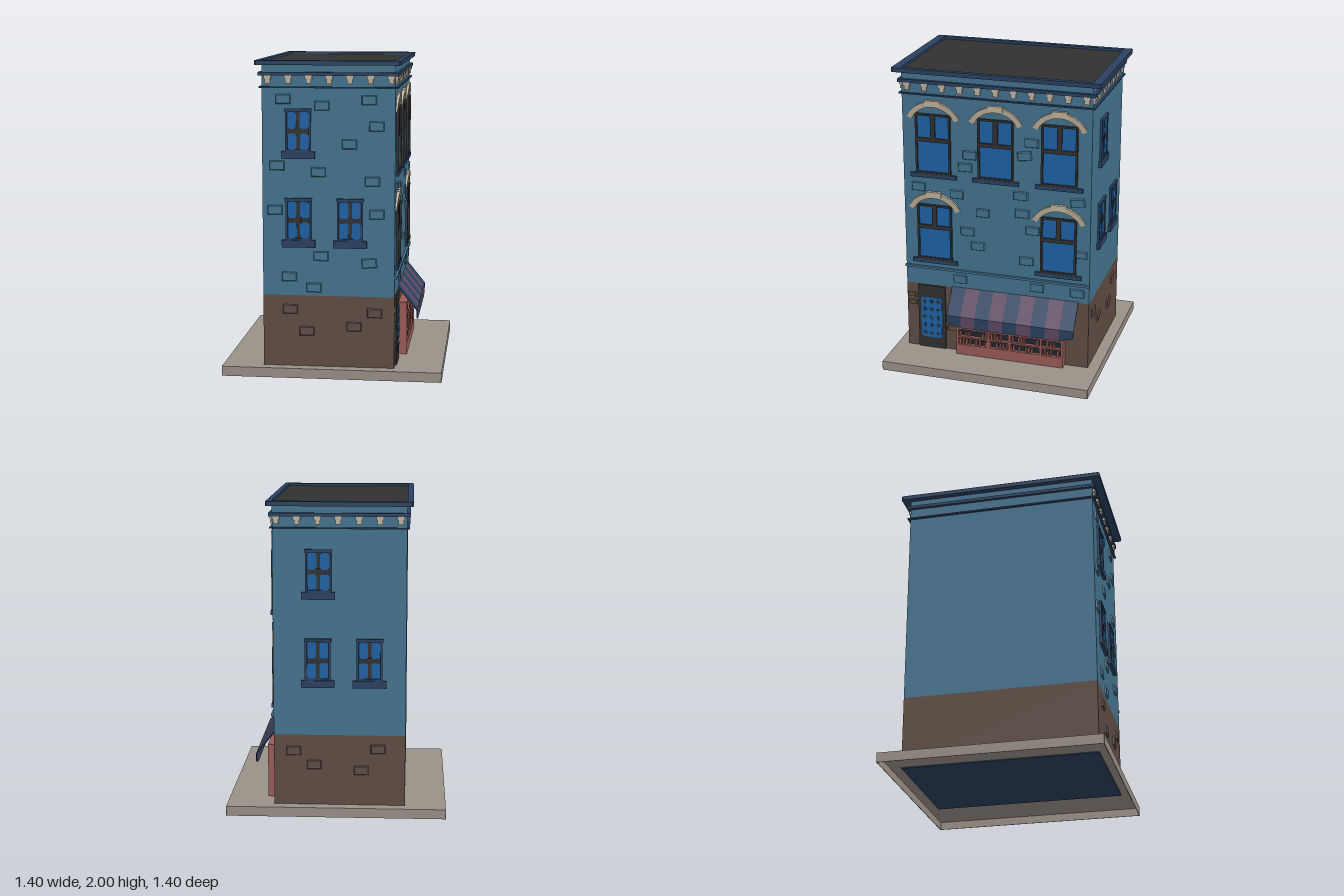
import * as THREE from 'three';

const mat = (name, color) => {
  const m = new THREE.MeshStandardMaterial({ color });
  m.name = name;
  return m;
};
const M = {
  wall: mat('wallBlue', 0x447490),
  brown: mat('groundFloorBrown', 0x5f4d44),
  trim: mat('navyTrim', 0x2a4160),
  dark: mat('charcoal', 0x313131),
  glass: mat('windowBlue', 0x1d62a6),
  cream: mat('creamStone', 0xc2b39d),
  salmon: mat('shopRed', 0x9a5c58),
  maroon: mat('awningMauve', 0x5e4962),
  paving: mat('paving', 0x999188),
  shadow: mat('shelfNavy', 0x1c2632),
};

// Building footprint
const X0 = -0.438, X1 = 0.395, Z = 0.625;

function add(parent, name, geometry, material) {
  const mesh = new THREE.Mesh(geometry, material);
  mesh.name = name;
  parent.add(mesh);
  return mesh;
}

function box(parent, name, material, x0, x1, y0, y1, z0, z1) {
  const mesh = add(parent, name, new THREE.BoxGeometry(x1 - x0, y1 - y0, z1 - z0), material);
  mesh.position.set((x0 + x1) / 2, (y0 + y1) / 2, (z0 + z1) / 2);
  return mesh;
}

// Each wall group has x to the right, y up and z pointing out of the wall
function wallGroup(parent, name, x, z, angle) {
  const g = new THREE.Group();
  g.name = name;
  g.position.set(x, 0, z);
  g.rotation.y = angle;
  parent.add(g);
  return g;
}

// Raised brick whose outer face is a little smaller than its base
function brick(parent, x, y, tilt = 0, w = 0.094, h = 0.06) {
  const d = 0.009;
  const geo = new THREE.BoxGeometry(w, h, d);
  const p = geo.attributes.position;
  for (let i = 0; i < p.count; i++) {
    if (p.getZ(i) > 0) p.setXY(i, p.getX(i) * (1 - 0.01 / w), p.getY(i) * (1 - 0.01 / h));
  }
  geo.computeVertexNormals();
  const mesh = add(parent, 'brick', geo, y > 0.52 ? M.wall : M.brown);
  mesh.position.set(x, y, d / 2);
  mesh.rotation.z = tilt;
}

// Hollow rectangular frame made of four bars
function frame(parent, name, material, x0, x1, y0, y1, t, depth) {
  box(parent, name, material, x0, x0 + t, y0, y1, 0, depth);
  box(parent, name, material, x1 - t, x1, y0, y1, 0, depth);
  box(parent, name, material, x0 + t, x1 - t, y0, y0 + t, 0, depth);
  box(parent, name, material, x0 + t, x1 - t, y1 - t, y1, 0, depth);
}

// Rectangle with clipped corners, as a thin plate
function pane(parent, name, material, x0, x1, y0, y1, cut, z, depth) {
  const s = new THREE.Shape([[x0 + cut, y0], [x1 - cut, y0], [x1, y0 + cut], [x1, y1 - cut],
    [x1 - cut, y1], [x0 + cut, y1], [x0, y1 - cut], [x0, y0 + cut]].map(([x, y]) => new THREE.Vector2(x, y)));
  add(parent, name, new THREE.ExtrudeGeometry(s, { depth, bevelEnabled: false }), material).position.z = z;
}

// Four-pane window of the end walls
function smallWindow(parent, x, y) {
  const g = new THREE.Group();
  g.name = 'smallWindow';
  g.position.set(x, y, 0);
  parent.add(g);
  box(g, 'sash', M.dark, -0.07, 0.07, 0.05, 0.3, 0, 0.005);
  for (const s of [-1, 1]) {
    const a = Math.min(s * 0.011, s * 0.066), b = Math.max(s * 0.011, s * 0.066);
    pane(g, 'glass', M.glass, a, b, 0.058, 0.158, 0.01, 0.005, 0.003);
    pane(g, 'glass', M.glass, a, b, 0.186, 0.29, 0.01, 0.005, 0.003);
  }
  frame(g, 'outerFrame', M.trim, -0.081, 0.081, 0.045, 0.31, 0.013, 0.014);
  box(g, 'lintel', M.trim, -0.085, 0.085, 0.292, 0.312, 0, 0.017);
  box(g, 'sill', M.trim, -0.105, 0.105, 0, 0.046, 0, 0.02);
  box(g, 'crossBoss', M.dark, -0.018, 0.018, 0.152, 0.192, 0.005, 0.011);
}

// Tall facade window with a sill and a stone arch; top is the height of its frame
function archedWindow(parent, x, y, top) {
  const g = new THREE.Group();
  g.name = 'archedWindow';
  g.position.set(x, y, 0);
  parent.add(g);
  box(g, 'glass', M.glass, -0.11, 0.11, 0.03, top - 0.008, 0, 0.004);
  frame(g, 'frame', M.dark, -0.118, 0.118, 0.027, top, 0.013, 0.016);
  box(g, 'transom', M.dark, -0.108, 0.108, 0.242, 0.268, 0, 0.014);
  box(g, 'mullion', M.dark, -0.016, 0.016, 0.268, top - 0.008, 0, 0.014);
  box(g, 'sill', M.trim, -0.155, 0.155, 0, 0.027, 0, 0.018);

  // Hood that leans outwards towards its crown
  const a = 0.47, s = new THREE.Shape();
  s.absarc(0, 0, 0.198, a, Math.PI - a, false);
  s.absarc(0, 0, 0.162, Math.PI - a, a, true);
  const geo = new THREE.ExtrudeGeometry(s, { depth: 0.02, bevelEnabled: false, curveSegments: 14 });
  const p = geo.attributes.position;
  for (let i = 0; i < p.count; i++) {
    if (p.getZ(i) > 0) p.setZ(i, 0.005 + 0.015 * (p.getY(i) - 0.07) / 0.128);
  }
  geo.computeVertexNormals();
  add(g, 'arch', geo, M.cream).position.y = top - 0.115;
  box(g, 'keystone', M.cream, -0.05, 0.05, top + 0.055, top + 0.09, 0, 0.021);
}

// Cream brackets under the cornice
function brackets(parent, count, from, to) {
  for (let i = 0; i < count; i++) {
    const x = from + (to - from) * i / (count - 1);
    box(parent, 'bracketCap', M.cream, x - 0.023, x + 0.023, 1.885, 1.906, 0, 0.016);
    box(parent, 'bracket', M.cream, x - 0.016, x + 0.016, 1.857, 1.885, 0, 0.012);
  }
}

// Rectangle outline in plan with clipped corners
function rect(path, x0, x1, z, c) {
  return path.moveTo(x0 + c, -z).lineTo(x1 - c, -z).lineTo(x1, -z + c).lineTo(x1, z - c)
    .lineTo(x1 - c, z).lineTo(x0 + c, z).lineTo(x0, z - c).lineTo(x0, -z + c).closePath();
}

// Flat ring around a rectangular opening
function ring(parent, name, material, outer, inner, y0, y1) {
  const s = rect(new THREE.Shape(), ...outer);
  s.holes.push(rect(new THREE.Path(), ...inner));
  const mesh = add(parent, name, new THREE.ExtrudeGeometry(s, { depth: y1 - y0, bevelEnabled: false }), material);
  mesh.rotation.x = -Math.PI / 2;
  mesh.position.y = y0;
}

export function createModel() {
  const model = new THREE.Group();
  model.name = 'cornerShopBuilding';

  // Pavement, hollow underneath, with the foundation showing below
  box(model, 'pavement', M.paving, -0.698, 0.698, 0.052, 0.062, -0.699, 0.699);
  ring(model, 'pavementEdge', M.paving, [-0.698, 0.698, 0.699, 0.001], [-0.694, 0.694, 0.695, 0.001], 0, 0.052);
  box(model, 'foundation', M.trim, X0, X1, 0.047, 0.056, -Z, Z);

  // Walls and roof
  box(model, 'groundFloor', M.brown, X0, X1, 0.06, 0.52, -Z, Z);
  box(model, 'upperFloors', M.wall, X0, X1, 0.52, 1.975, -Z, Z);
  box(model, 'roof', M.dark, X0, X1, 1.975, 1.984, -Z, Z);

  // Cornice: raised rim and two bands
  ring(model, 'roofRim', M.trim, [X0 - 0.037, X1 + 0.035, Z + 0.056, 0.008], [X0, X1, Z, 0.001], 1.972, 2);
  box(model, 'corniceBand', M.trim, X0 - 0.02, X1 + 0.02, 1.906, 1.927, -Z - 0.02, Z + 0.02);
  box(model, 'lowerCorniceBand', M.trim, X0 - 0.016, X1 + 0.016, 1.829, 1.838, -Z - 0.016, Z + 0.016);

  // End walls
  const front = wallGroup(model, 'frontWall', 0, Z, 0);
  const back = wallGroup(model, 'backWall', 0, -Z, Math.PI);
  const lowBricks = [[-0.265, 0.43], [0.27, 0.415], [-0.16, 0.29], [0.14, 0.325]];
  for (const [wall, side] of [[front, 1], [back, -1]]) {
    brackets(wall, 7, -0.4 * side, 0.37 * side);
    smallWindow(wall, -0.21 * side, 0.83);
    smallWindow(wall, 0.115 * side, 0.83);
    lowBricks.forEach(([x, y]) => brick(wall, x * side, y));
  }
  smallWindow(front, -0.21, 1.39);
  smallWindow(back, -0.11, 1.39);
  [[-0.305, 1.76], [-0.06, 1.72], [0.233, 1.757], [0.28, 1.595], [0.11, 1.482], [-0.345, 1.345],
    [-0.085, 1.307], [0.255, 1.252], [-0.36, 1.065], [0.283, 1.045], [-0.07, 0.775],
    [0.235, 0.735, 0.08], [-0.27, 0.64], [-0.115, 0.572]].forEach(b => brick(front, ...b));

  // Shop facade
  const facade = wallGroup(model, 'shopFacade', X1, 0, Math.PI / 2);
  brackets(facade, 11, -0.588, 0.588);
  for (const x of [-0.418, 0, 0.418]) archedWindow(facade, x, 1.28, 0.428);
  for (const x of [-0.418, 0.418]) archedWindow(facade, x, 0.683, 0.41);
  box(facade, 'stringCourse', M.wall, -Z - 0.005, Z + 0.005, 0.638, 0.653, 0, 0.016);
  [[-0.175, 1.455], [-0.205, 1.37], [0.235, 1.575], [0.19, 1.485, 0.12], [-0.525, 1.21], [-0.265, 1.18],
    [0.165, 1.215], [0.54, 1.205, 0.12], [-0.09, 1.07], [0.175, 1.095], [0.245, 0.985], [-0.195, 0.93],
    [-0.125, 0.835], [0.205, 0.77], [0.57, 0.855, 0, 0.075, 0.05], [-0.25, 0.585, 0.06], [0.275, 0.59],
    [0.545, 0.585], [-0.59, 0.435, 0, 0.06, 0.035], [-0.585, 0.38, 0, 0.06, 0.035],
    [-0.31, 0.22, 0, 0.07, 0.04]].forEach(b => brick(facade, ...b));

  // Door with a glazed panel and small crosses
  box(facade, 'door', M.dark, -0.545, -0.355, 0.06, 0.515, 0, 0.01);
  pane(facade, 'doorGlass', M.glass, -0.525, -0.38, 0.138, 0.43, 0.012, 0.01, 0.003);
  for (let i = 0; i < 3; i++) {
    for (let j = 0; j < 5; j++) {
      const x = -0.5 + i * 0.047, y = 0.168 + j * 0.058;
      box(facade, 'doorCross', M.dark, x - 0.014, x + 0.014, y - 0.004, y + 0.004, 0.013, 0.015);
      box(facade, 'doorCross', M.dark, x - 0.004, x + 0.004, y - 0.014, y + 0.014, 0.013, 0.0155);
    }
  }

  // Display case with shelves of books
  box(facade, 'displayBase', M.salmon, -0.265, 0.47, 0.06, 0.135, 0, 0.055);
  box(facade, 'displayTop', M.salmon, -0.265, 0.47, 0.375, 0.41, 0, 0.055);
  box(facade, 'displayBack', M.shadow, -0.26, 0.465, 0.135, 0.375, 0, 0.03);
  for (const x of [-0.258, -0.042, 0.105, 0.318, 0.463]) {
    box(facade, 'displayPost', M.salmon, x - 0.008, x + 0.008, 0.135, 0.375, 0, 0.055);
  }
  let seed = 7;
  const rnd = () => (seed = (seed * 16807) % 2147483647) / 2147483647;
  for (let row = 0; row < 4; row++) {
    const y = 0.135 + row * 0.06;
    if (row) box(facade, 'shelf', M.salmon, -0.26, 0.465, y - 0.011, y, 0.03, 0.053);
    for (let x = -0.245; x < 0.445; x += 0.018 + rnd() * 0.008) {
      if (rnd() < 0.75) box(facade, 'book', M.salmon, x, x + 0.012, y, y + 0.025 + rnd() * 0.02, 0.03, 0.048);
    }
  }

  // Striped awning with a hanging edge, its end corners cut
  const profile = new THREE.Shape([[0.395, 0.525], [0.393, 0.517], [0.514, 0.366], [0.514, 0.29],
    [0.519, 0.29], [0.519, 0.37]].map(([x, y]) => new THREE.Vector2(x, y)));
  const n = 9, zA = -0.555, w = 0.862 / n;
  for (let i = 0; i < n; i++) {
    const geo = new THREE.ExtrudeGeometry(profile, { depth: w, bevelEnabled: false });
    const p = geo.attributes.position;
    for (let k = 0; k < p.count; k++) {
      const outer = (i === 0 && p.getZ(k) < 0.01) || (i === n - 1 && p.getZ(k) > 0.01);
      if (outer && p.getY(k) < 0.3) p.setY(k, 0.32);
    }
    add(model, 'awningStripe', geo, i % 2 ? M.maroon : M.trim).position.z = zA + i * w;
  }
  return model;
}
